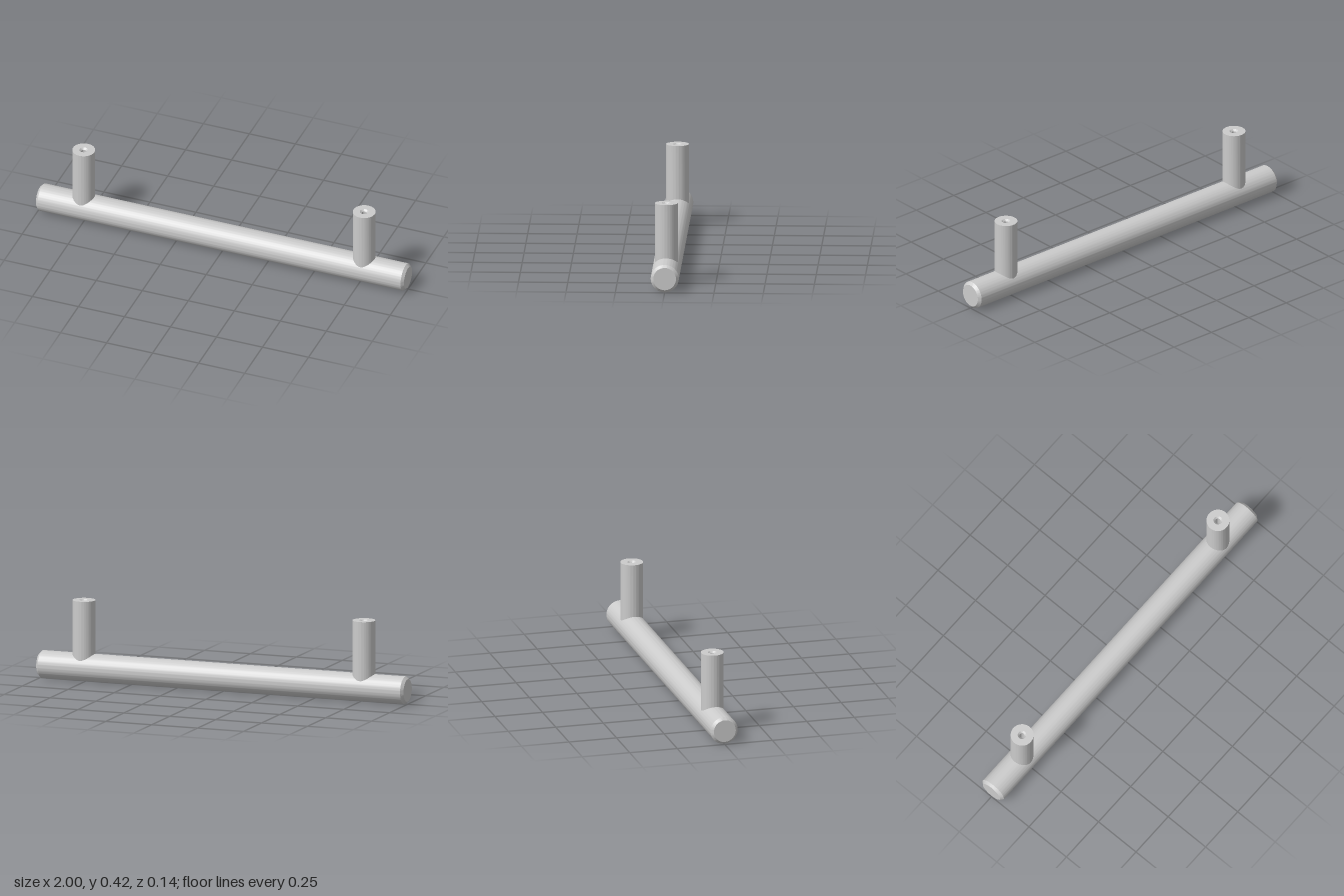
import * as THREE from 'three';
import { toCreasedNormals } from 'three/addons/utils/BufferGeometryUtils.js';

const BAR_R = 0.071, CHAMFER = 0.0135;
const POST_R = 0.058, POST_X = 0.762, POST_TOP = 0.417;

// Turned solid from [radius, height] pairs, with crisp machined edges
function turned(name, profile, material) {
  const points = profile.map(([r, y]) => new THREE.Vector2(r, y));
  const geometry = toCreasedNormals(new THREE.LatheGeometry(points, 72), 0.4);
  const mesh = new THREE.Mesh(geometry, material);
  mesh.name = name;
  return mesh;
}

export function createModel() {
  const group = new THREE.Group();
  group.name = 'barHandle';
  const material = new THREE.MeshStandardMaterial({ color: 0xcccccc });

  // Grip bar with chamfered ends, laid along x
  const bar = turned('gripBar', [
    [0, -1], [BAR_R - CHAMFER, -1], [BAR_R, -1 + CHAMFER],
    [BAR_R, 1 - CHAMFER], [BAR_R - CHAMFER, 1], [0, 1],
  ], material);
  bar.rotation.z = Math.PI / 2;
  bar.position.y = BAR_R;
  group.add(bar);

  // Mounting posts, sunk into the bar, each with a countersunk screw hole on top
  for (const [name, side] of [['leftPost', 1], ['rightPost', -1]]) {
    const post = turned(name, [
      [0, 0.09], [POST_R, 0.09], [POST_R, POST_TOP],
      [0.022, POST_TOP], [0.013, POST_TOP - 0.009],
      [0.013, POST_TOP - 0.13], [0, POST_TOP - 0.138],
    ], material);
    post.position.x = side * POST_X;
    group.add(post);
  }

  return group;
}
